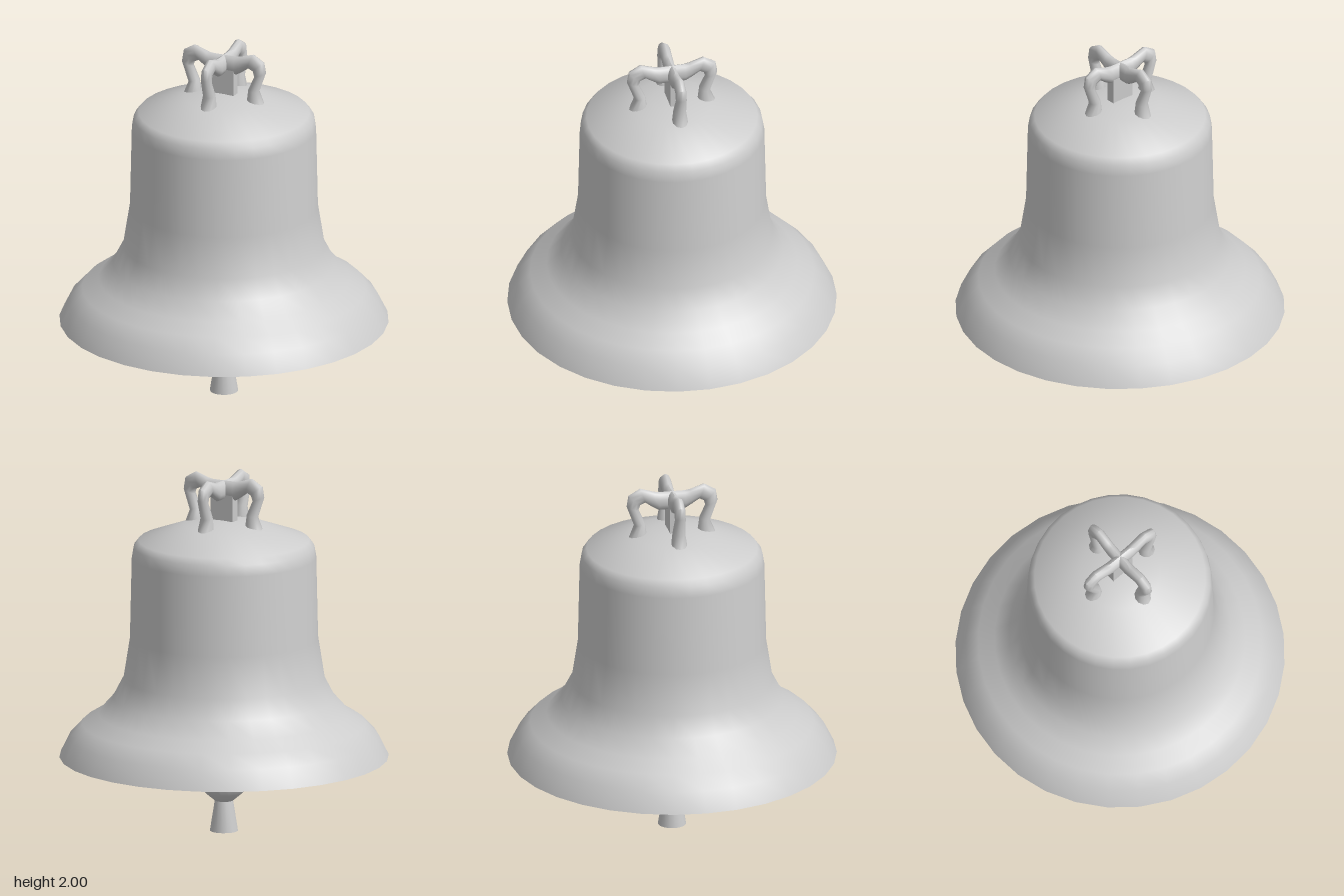
import * as THREE from 'three';
import { toCreasedNormals } from 'three/addons/utils/BufferGeometryUtils.js';

const material = new THREE.MeshStandardMaterial({ color: 0xcccccc });

function addMesh(parent, geometry, name, crease = 0.9) {
  const mesh = new THREE.Mesh(toCreasedNormals(geometry, crease), material);
  mesh.name = name;
  parent.add(mesh);
  return mesh;
}

const lathe = (profile, sides) =>
  new THREE.LatheGeometry(profile.map(([r, y]) => new THREE.Vector2(r, y)), sides);

// Sweep of rounded sections lying between an outer and an inner outline.
// Each section: [outer x, outer y, inner x, inner y, half width]
function sweep(sections, sides = 10) {
  const pos = [], index = [];
  for (const [ox, oy, ix, iy, w] of sections) {
    for (let j = 0; j < sides; j++) {
      const a = (j / sides) * Math.PI * 2;
      const t = (1 - Math.cos(a)) / 2;
      pos.push(ox + (ix - ox) * t, oy + (iy - oy) * t, w * Math.sin(a));
    }
  }
  for (let i = 0; i < sections.length - 1; i++) {
    for (let j = 0; j < sides; j++) {
      const k = (j + 1) % sides;
      const a = i * sides + j, b = i * sides + k, c = a + sides, d = b + sides;
      index.push(a, c, b, b, c, d);
    }
  }
  const geometry = new THREE.BufferGeometry();
  geometry.setAttribute('position', new THREE.Float32BufferAttribute(pos, 3));
  geometry.setIndex(index);
  return geometry;
}

export function createModel() {
  const group = new THREE.Group();

  // Bell wall: down the inside, across the lip, up the outside
  addMesh(group, lathe([
    [0, 1.69], [0.22, 1.67], [0.44, 1.59], [0.465, 1.53], [0.48, 1.08], [0.515, 0.85],
    [0.57, 0.73], [0.655, 0.635], [0.75, 0.57], [0.81, 0.51], [0.865, 0.42],
    [0.905, 0.42], [0.85, 0.53], [0.78, 0.605], [0.69, 0.66], [0.61, 0.75], [0.553, 0.86],
    [0.517, 1.09], [0.507, 1.54], [0.497, 1.6], [0.47, 1.635], [0.22, 1.725], [0.11, 1.745], [0, 1.75],
  ], 32), 'bellBody');

  // Clapper: flared tail, ball and long rod
  addMesh(group, lathe([
    [0, 0], [0.078, 0], [0.051, 0.17], [0.105, 0.215], [0.14, 0.285],
    [0.105, 0.37], [0.055, 0.42], [0.052, 1.7],
  ], 16), 'clapper', 1.0);

  // Crown: four arms meeting over the centre
  const arm = [
    [0.245, 1.71, 0.14, 1.71, 0.046],
    [0.213, 1.785, 0.153, 1.8, 0.036],
    [0.255, 1.9, 0.187, 1.875, 0.03],
    [0.245, 1.962, 0.178, 1.902, 0.03],
    [0.18, 2, 0.15, 1.915, 0.03],
    [0.1, 1.975, 0.108, 1.885, 0.03],
    [0.07, 1.97, 0.075, 1.865, 0.03],
    [0, 1.97, 0, 1.865, 0.03],
  ];
  const crown = new THREE.Group();
  crown.name = 'crown';
  for (let i = 0; i < 4; i++) {
    addMesh(crown, sweep(arm), 'crownArm', 1.0).rotation.y = (i * Math.PI) / 2;
  }
  // Flat post under the crossing
  const post = addMesh(crown, new THREE.BoxGeometry(0.14, 0.2, 0.05), 'crownPost');
  post.position.y = 1.815;
  group.add(crown);

  return group;
}
